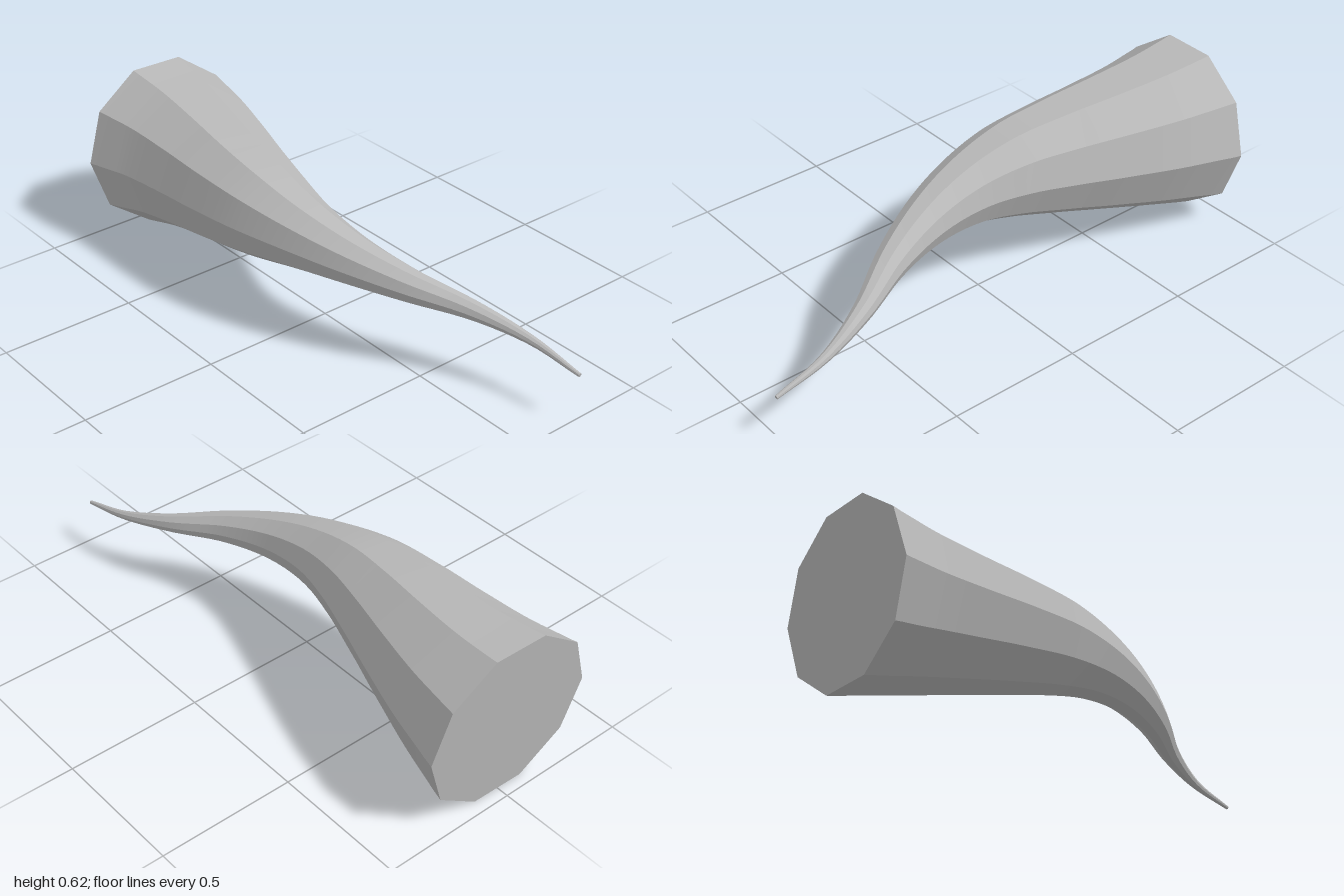
import * as THREE from 'three';

const SIDES = 10;
const RINGS = 48;

// Centre line of the horn with its radius: x, y, z, r
const STATIONS = [
  [0, 0.309, -0.977, 0.325],
  [-0.01, 0.323, -0.8, 0.288],
  [-0.036, 0.336, -0.6, 0.25],
  [-0.066, 0.348, -0.4, 0.213],
  [-0.087, 0.358, -0.2, 0.174],
  [-0.083, 0.354, 0, 0.128],
  [-0.045, 0.333, 0.2, 0.09],
  [0.03, 0.299, 0.4, 0.06],
  [0.137, 0.255, 0.6, 0.035],
  [0.207, 0.211, 0.8, 0.017],
  [0.227, 0.171, 0.999, 0.007],
];

function curve(points) {
  return new THREE.CatmullRomCurve3(points, false, 'catmullrom', 0.5);
}

// Decagonal rings, each square to the centre line
function makeRings() {
  const spine = curve(STATIONS.map(([x, y, z]) => new THREE.Vector3(x, y, z)));
  const taper = curve(STATIONS.map((s) => new THREE.Vector3(s[3], 0, 0)));
  const up = new THREE.Vector3(0, 1, 0);
  const rings = [];
  for (let i = 0; i <= RINGS; i++) {
    const t = i / RINGS;
    const centre = spine.getPoint(t);
    const radius = taper.getPoint(t).x;
    const along = spine.getTangent(t);
    if (i === 0) along.set(-0.022, 0.073, 1).normalize();
    const u = new THREE.Vector3().crossVectors(up, along).normalize();
    const v = new THREE.Vector3().crossVectors(along, u);
    const ring = [];
    for (let k = 0; k < SIDES; k++) {
      const a = (k / SIDES) * Math.PI * 2;
      ring.push(centre.clone()
        .addScaledVector(u, radius * Math.cos(a))
        .addScaledVector(v, radius * Math.sin(a)));
    }
    rings.push(ring);
  }
  return rings;
}

function geometryFrom(points, index) {
  const geometry = new THREE.BufferGeometry().setFromPoints(points);
  geometry.setIndex(index);
  geometry.computeVertexNormals();
  return geometry;
}

// Each side is its own strip: smooth lengthwise, sharp at the ridges
function makeSides(rings) {
  const points = [];
  const index = [];
  for (let k = 0; k < SIDES; k++) {
    const start = points.length;
    for (const ring of rings) points.push(ring[k], ring[(k + 1) % SIDES]);
    for (let i = 0; i < RINGS; i++) {
      const a = start + i * 2;
      index.push(a, a + 1, a + 2, a + 1, a + 3, a + 2);
    }
  }
  return geometryFrom(points, index);
}

// Flat end face
function makeCap(ring, facesFront) {
  const index = [];
  for (let k = 1; k < SIDES - 1; k++) {
    index.push(0, ...(facesFront ? [k, k + 1] : [k + 1, k]));
  }
  return geometryFrom(ring, index);
}

export function createModel() {
  const group = new THREE.Group();
  group.name = 'horn';
  const grey = new THREE.MeshStandardMaterial({ color: 0xb8b8b8 });
  grey.name = 'horn grey';

  const add = (name, geometry) => {
    const mesh = new THREE.Mesh(geometry, grey);
    mesh.name = name;
    group.add(mesh);
  };

  const rings = makeRings();
  add('hornSides', makeSides(rings));
  add('hornBase', makeCap(rings[0], false));
  add('hornTip', makeCap(rings[RINGS], true));
  return group;
}
